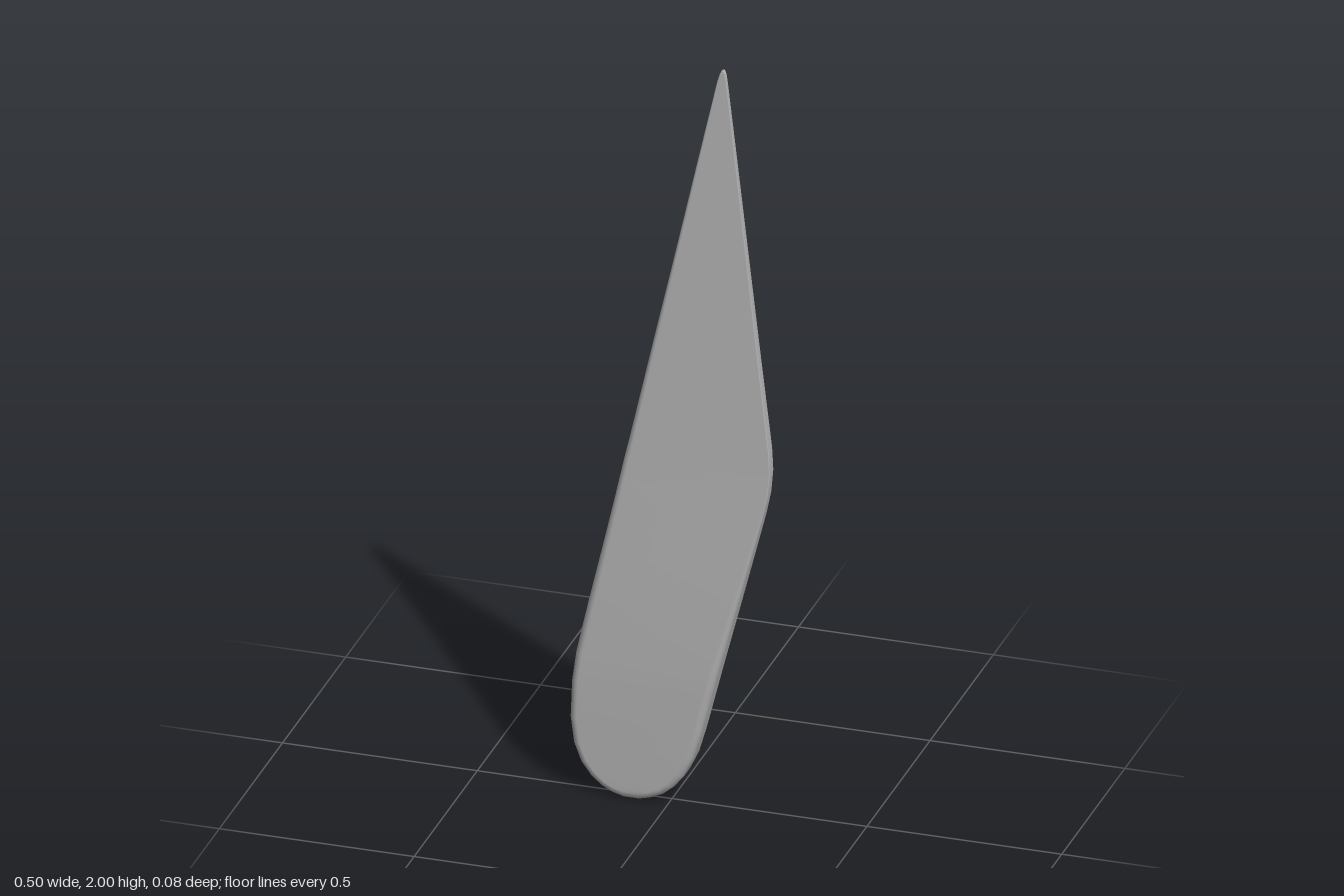
import * as THREE from 'three';

// Blade outline: [height, left edge x, right edge x]
const ROWS = [
  [0, -0.115, -0.075], [0.008, -0.145, -0.045], [0.022, -0.172, -0.014],
  [0.045, -0.199, 0.013], [0.08, -0.225, 0.04], [0.13, -0.244, 0.063],
  [0.2, -0.253, 0.083], [0.3, -0.249, 0.108], [0.38, -0.238, 0.128],
  [0.52, -0.207, 0.164], [0.65, -0.177, 0.197], [0.8, -0.143, 0.235],
  [0.86, -0.13, 0.247], [0.92, -0.117, 0.252], [0.98, -0.103, 0.249],
  [1.25, -0.043, 0.219], [1.5, 0.013, 0.192], [1.75, 0.068, 0.165],
  [1.97, 0.117, 0.141], [1.99, 0.123, 0.138], [2, 0.128, 0.134],
];

// Linear taper from a to b while y runs from y0 to y1
const taper = (y, y0, y1, a, b) =>
  THREE.MathUtils.lerp(a, b, THREE.MathUtils.clamp((y - y0) / (y1 - y0), 0, 1));

function bladeGeometry() {
  const n = ROWS.length, count = 2 * n, steps = 4;
  const rim = [];
  // Right edge upwards, then left edge downwards, each with its own thickness
  for (const [y, , x] of ROWS) {
    rim.push({ x, y, front: taper(y, 0.35, 0.9, 0.04, 0.005), back: taper(y, 0.97, 2, -0.042, -0.008) });
  }
  for (const [y, x] of [...ROWS].reverse()) {
    rim.push({ x, y, front: taper(y, 0.5, 2, 0.04, 0.005), back: taper(y, 0.5, 2, -0.042, -0.008) });
  }

  // Rounded rim profile at every outline point, from back to front
  const positions = [], index = [], per = 2 * (steps + 1);
  rim.forEach((p, i) => {
    const a = rim[(i + count - 1) % count], b = rim[(i + 1) % count];
    const inward = new THREE.Vector2(a.y - b.y, b.x - a.x).normalize();
    for (const side of [-1, 1]) {
      const z = side < 0 ? p.back : p.front;
      const r = Math.abs(z) * 0.5;
      for (let k = 0; k <= steps; k++) {
        const t = (side < 0 ? steps - k : k) / steps * Math.PI / 2;
        const inset = r * (1 - Math.cos(t));
        positions.push(p.x + inward.x * inset, p.y + inward.y * inset, z - side * r * (1 - Math.sin(t)));
      }
    }
  });

  const quad = (a, b, c, d) => index.push(a, b, c, a, c, d);
  for (let i = 0; i < count; i++) {
    const a = i * per, b = ((i + 1) % count) * per;
    for (let j = 0; j < per - 1; j++) quad(a + j, b + j, b + j + 1, a + j + 1);
  }
  // Front and back faces span from the left rim to the right rim
  for (let k = 0; k < n - 1; k++) {
    const r0 = k * per, r1 = r0 + per;
    const l0 = (count - 1 - k) * per, l1 = l0 - per, f = per - 1;
    quad(l0 + f, r0 + f, r1 + f, l1 + f);
    quad(r0, l0, l1, r1);
  }

  const geometry = new THREE.BufferGeometry();
  geometry.setAttribute('position', new THREE.Float32BufferAttribute(positions, 3));
  geometry.setIndex(index);
  geometry.computeVertexNormals();
  return geometry;
}

export function createModel() {
  const group = new THREE.Group();
  const grey = new THREE.MeshStandardMaterial({ color: 0xb4b4b4 });
  grey.name = 'grey';
  const blade = new THREE.Mesh(bladeGeometry(), grey);
  blade.name = 'blade';
  group.add(blade);
  return group;
}
